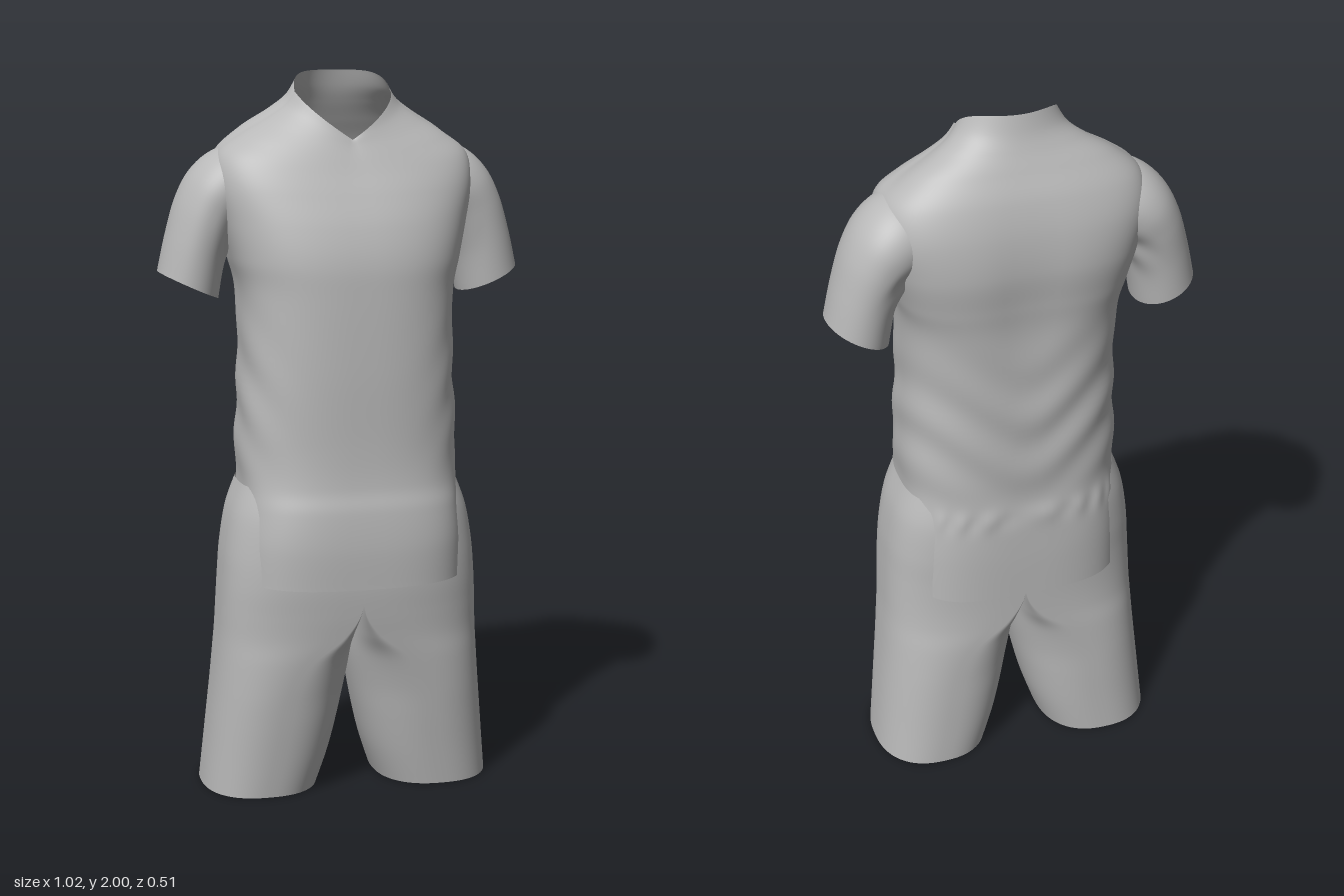
import * as THREE from 'three';

const { lerp, smoothstep, clamp } = THREE.MathUtils;

// Catmull-Rom blend of a table of key rows, u in 0..1
function sampleRows(rows, u) {
  const f = u * (rows.length - 1);
  const i = Math.min(Math.floor(f), rows.length - 2);
  const t = f - i;
  const row = (k) => rows[Math.max(0, Math.min(rows.length - 1, k))];
  const [a, b, c, d] = [row(i - 1), row(i), row(i + 1), row(i + 2)];
  return b.map((_, k) => {
    const m0 = (c[k] - a[k]) / 2, m1 = (d[k] - b[k]) / 2;
    const t2 = t * t, t3 = t2 * t;
    return b[k] * (2 * t3 - 3 * t2 + 1) + c[k] * (3 * t2 - 2 * t3)
      + m0 * (t3 - 2 * t2 + t) + m1 * (t3 - t2);
  });
}

// Open tube skinned over closed cross-sections
function loft(rows, point, rings, segs, flip = false) {
  const pos = [], index = [];
  for (let r = 0; r <= rings; r++) {
    const row = sampleRows(rows, r / rings);
    for (let s = 0; s < segs; s++) pos.push(...point(row, (s / segs) * Math.PI * 2));
  }
  for (let r = 0; r < rings; r++) {
    for (let s = 0; s < segs; s++) {
      const a = r * segs + s, b = r * segs + (s + 1) % segs;
      const c = a + segs, d = b + segs;
      if (flip) index.push(a, b, c, b, d, c);
      else index.push(a, c, b, b, c, d);
    }
  }
  const g = new THREE.BufferGeometry();
  g.setAttribute('position', new THREE.Float32BufferAttribute(pos, 3));
  g.setIndex(index);
  g.computeVertexNormals();
  return g;
}

const power = (v, n) => Math.sign(v) * Math.pow(Math.abs(v), 2 / n);
const bump = (v, mid, width) => Math.exp(-(((v - mid) / width) ** 2));

// Shirt body: side y, front y, back y, half width, front z, back z
const BODY = [
  [0.62, 0.61, 0.57, 0.312, 0.252, -0.238],
  [0.72, 0.72, 0.70, 0.310, 0.254, -0.238],
  [0.82, 0.82, 0.82, 0.304, 0.246, -0.234],
  [0.89, 0.89, 0.89, 0.302, 0.232, -0.228],
  [1.00, 1.00, 1.00, 0.305, 0.226, -0.232],
  [1.20, 1.20, 1.20, 0.296, 0.226, -0.236],
  [1.40, 1.40, 1.40, 0.297, 0.221, -0.243],
  [1.50, 1.50, 1.50, 0.318, 0.214, -0.252],
  [1.60, 1.59, 1.60, 0.342, 0.192, -0.260],
  [1.70, 1.67, 1.70, 0.362, 0.160, -0.250],
  [1.78, 1.73, 1.79, 0.350, 0.132, -0.225],
  [1.83, 1.77, 1.86, 0.290, 0.114, -0.192],
  [1.875, 1.80, 1.91, 0.213, 0.100, -0.168],
  [1.91, 1.815, 1.95, 0.162, 0.093, -0.152],
  [1.945, 1.82, 2.00, 0.134, 0.089, -0.138],
];

function bodyPoint([ySide, yFront, yBack, w, zf, zb], t) {
  const c = Math.cos(t), s = Math.sin(t);
  // boxy hem, fuller back, round neck
  const neck = smoothstep(ySide, 1.7, 1.94);
  const hem = 1 - smoothstep(ySide, 0.72, 1.0);
  const chest = s < 0 ? 2.7 + 0.5 * smoothstep(ySide, 1.2, 1.6) : 2.7;
  const n = lerp(lerp(chest, 3.3, hem), 2, neck);
  const y = s > 0
    ? ySide + (yFront - ySide) * Math.pow(1 - Math.abs(c), 0.7)
    : ySide + (yBack - ySide) * (1 - (1 + s) ** 2);
  let x = w * power(c, n);
  let z = (zf + zb) / 2 + ((zf - zb) / 2) * power(s, n);
  // hollow between the shoulder blades
  if (s < 0) z += 0.013 * bump(x, 0, 0.1) * bump(y, 1.5, 0.25);
  // cloth folds sweeping from the armpits down to the lower back
  const soft = bump(y, 1.12, 0.2) * (s < 0 ? 1 : c ** 4);
  const fold = 0.004 * soft * Math.sin(34 * y - 40 * Math.hypot(x, 0.07) + 14 * z + (x > 0 ? 0.8 * c * c : 0));
  // gathers at the back of the waist
  const gather = s < 0 ? 0.004 * bump(y, 0.83, 0.03) * Math.sin(t * 22) : 0;
  x += c * fold;
  z += s * (fold + gather);
  return [x, y, z];
}

// Sleeve: outer x, outer y, inner x, inner y, front z, back z
const SLEEVE = [
  [0.510, 1.460, 0.345, 1.385, 0.040, -0.185],
  [0.487, 1.560, 0.325, 1.490, 0.044, -0.192],
  [0.457, 1.660, 0.290, 1.570, 0.049, -0.202],
  [0.416, 1.735, 0.250, 1.610, 0.054, -0.206],
  [0.355, 1.787, 0.200, 1.630, 0.050, -0.195],
  [0.270, 1.815, 0.150, 1.640, 0.030, -0.165],
];

const sleevePoint = (side) => ([ox, oy, ix, iy, zf, zb], t) => {
  const c = power(Math.cos(t), 2.05), s = power(Math.sin(t), 2.05);
  const crease = 0.005 * bump(oy, 1.66, 0.08) * Math.sin(5 * t + 30 * oy) * Math.max(0, -c);
  return [
    side * ((ox + ix) / 2 + ((ox - ix) / 2) * c + crease),
    (oy + iy) / 2 + ((oy - iy) / 2) * c,
    (zf + zb) / 2 + ((zf - zb) / 2) * s + crease,
  ];
};

// Shorts half: y, inner x, outer x, front z, back z, blend from leg oval to half pelvis
const LEG = [
  [0.00, 0.088, 0.414, 0.150, -0.222, 0],
  [0.10, 0.055, 0.404, 0.163, -0.221, 0],
  [0.20, 0.031, 0.394, 0.176, -0.220, 0],
  [0.30, 0.012, 0.384, 0.188, -0.218, 0.03],
  [0.39, 0.000, 0.376, 0.199, -0.217, 0.25],
  [0.46, 0.000, 0.370, 0.208, -0.216, 0.7],
  [0.53, 0.000, 0.366, 0.217, -0.216, 0.96],
  [0.61, 0.000, 0.361, 0.224, -0.217, 1],
  [0.70, 0.000, 0.353, 0.225, -0.221, 1],
  [0.80, 0.000, 0.335, 0.220, -0.221, 1],
  [0.88, 0.000, 0.306, 0.208, -0.212, 1],
];

const legPoint = (side) => ([y, xi, xo, zf, zb, blend], t) => {
  const c = Math.cos(t), s = Math.sin(t);
  const k = clamp(blend, 0, 1);
  const oval = (xi + xo) / 2 + ((xo - xi) / 2) * power(c, 2.4);
  const half = c > 0 ? xo * power(c, 2.9) : 0;
  const zn = power(s, lerp(2.4, 2.9, k));
  return [
    side * Math.max(0, lerp(oval, half, k)),
    y,
    (zf + zb) / 2 + ((zf - zb) / 2) * zn,
  ];
};

export function createModel() {
  const cloth = new THREE.MeshStandardMaterial({ color: 0xb8b8b8, side: THREE.DoubleSide });
  cloth.name = 'grey cloth';
  const model = new THREE.Group();
  model.name = 'shirtAndShorts';
  const add = (name, geometry, parent) => {
    const mesh = new THREE.Mesh(geometry, cloth);
    mesh.name = name;
    parent.add(mesh);
  };

  const shirt = new THREE.Group();
  shirt.name = 'shirt';
  const shorts = new THREE.Group();
  shorts.name = 'shorts';
  model.add(shirt, shorts);

  add('shirtBody', loft(BODY, bodyPoint, 140, 128), shirt);
  for (const [label, side] of [['left', 1], ['right', -1]]) {
    add(label + 'Sleeve', loft(SLEEVE, sleevePoint(side), 40, 64, side < 0), shirt);
    add(label + 'ShortsLeg', loft(LEG, legPoint(side), 66, 96, side < 0), shorts);
  }
  return model;
}
